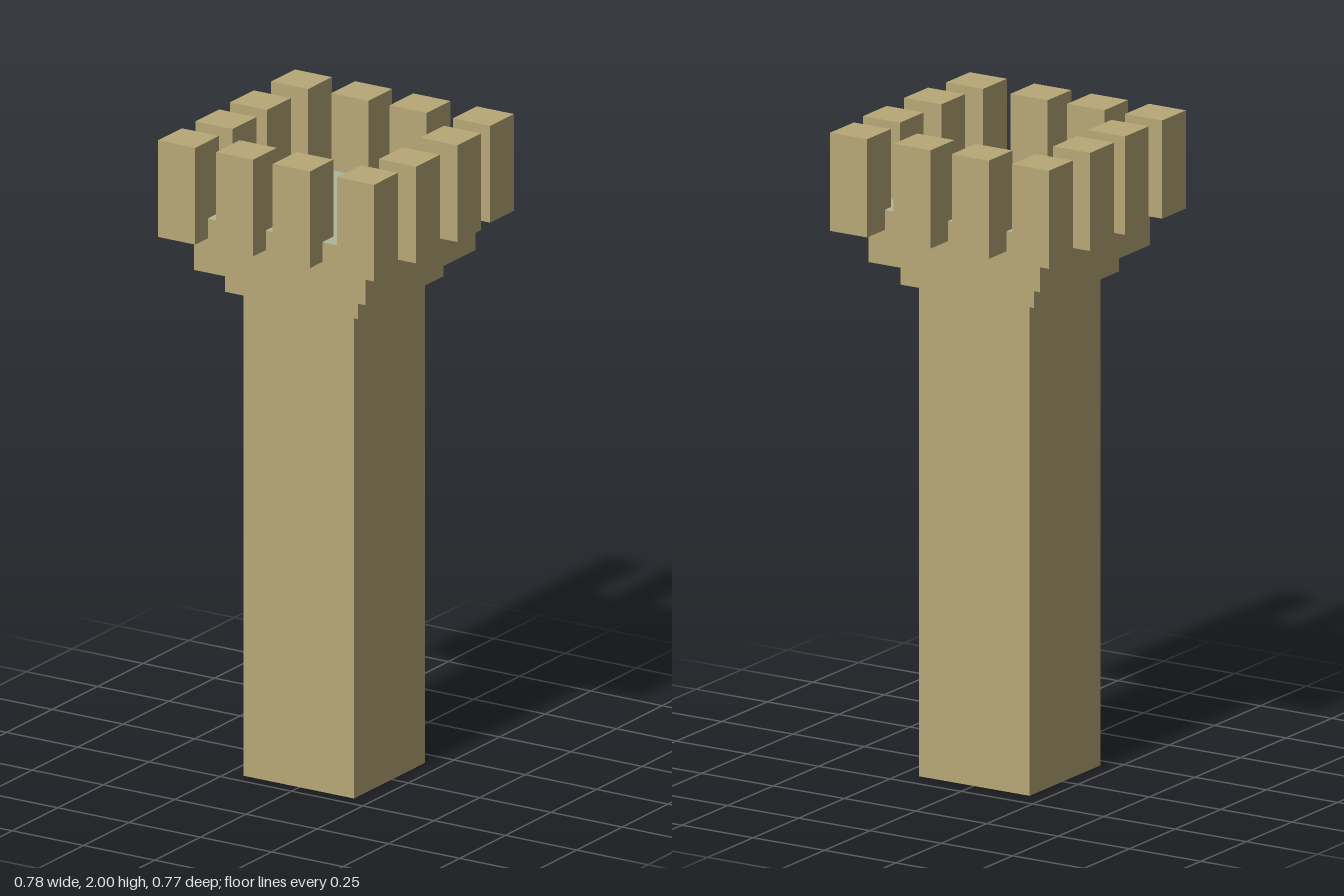
import * as THREE from 'three';

export function createModel() {
  const tower = new THREE.Group();
  tower.name = 'tower';
  const stone = new THREE.MeshStandardMaterial({ color: 0xb8a878, flatShading: true });
  const moss = new THREE.MeshStandardMaterial({ color: 0xaeb69c, flatShading: true });

  // Square block of width w between heights y0 and y1
  function block(name, w, y0, y1, x, z, parent = tower) {
    const mesh = new THREE.Mesh(new THREE.BoxGeometry(w, y1 - y0, w), stone);
    mesh.position.set(x, (y0 + y1) / 2, z);
    mesh.name = name;
    parent.add(mesh);
  }

  // Shaft and two stepped courses
  block('shaft', 0.388, 0, 1.515, -0.002, 0.013);
  block('collar', 0.468, 1.515, 1.59, -0.002, 0.013);
  block('platform', 0.602, 1.59, 1.758, -0.001, 0.012);

  // Coloured floor on top of the platform
  const floor = new THREE.Mesh(new THREE.PlaneGeometry(0.602, 0.602), moss);
  floor.rotation.x = -Math.PI / 2;
  floor.position.set(-0.001, 1.76, 0.012);
  floor.name = 'floor';
  tower.add(floor);

  // Slightly uneven ring of merlons: x, z centres
  const merlons = new THREE.Group();
  merlons.name = 'merlons';
  tower.add(merlons);
  const centres = [
    [-0.327, -0.316], [-0.119, -0.321], [0.086, -0.32], [0.308, -0.321], // back
    [0.322, -0.119], [0.325, 0.112], // left side
    [-0.326, -0.089], [-0.318, 0.113], // right side
    [-0.318, 0.318], [-0.115, 0.318], [0.084, 0.318], [0.31, 0.318], // front
  ];
  for (const [x, z] of centres) block('merlon', 0.13, 1.698, 2, x, z, merlons);

  return tower;
}
